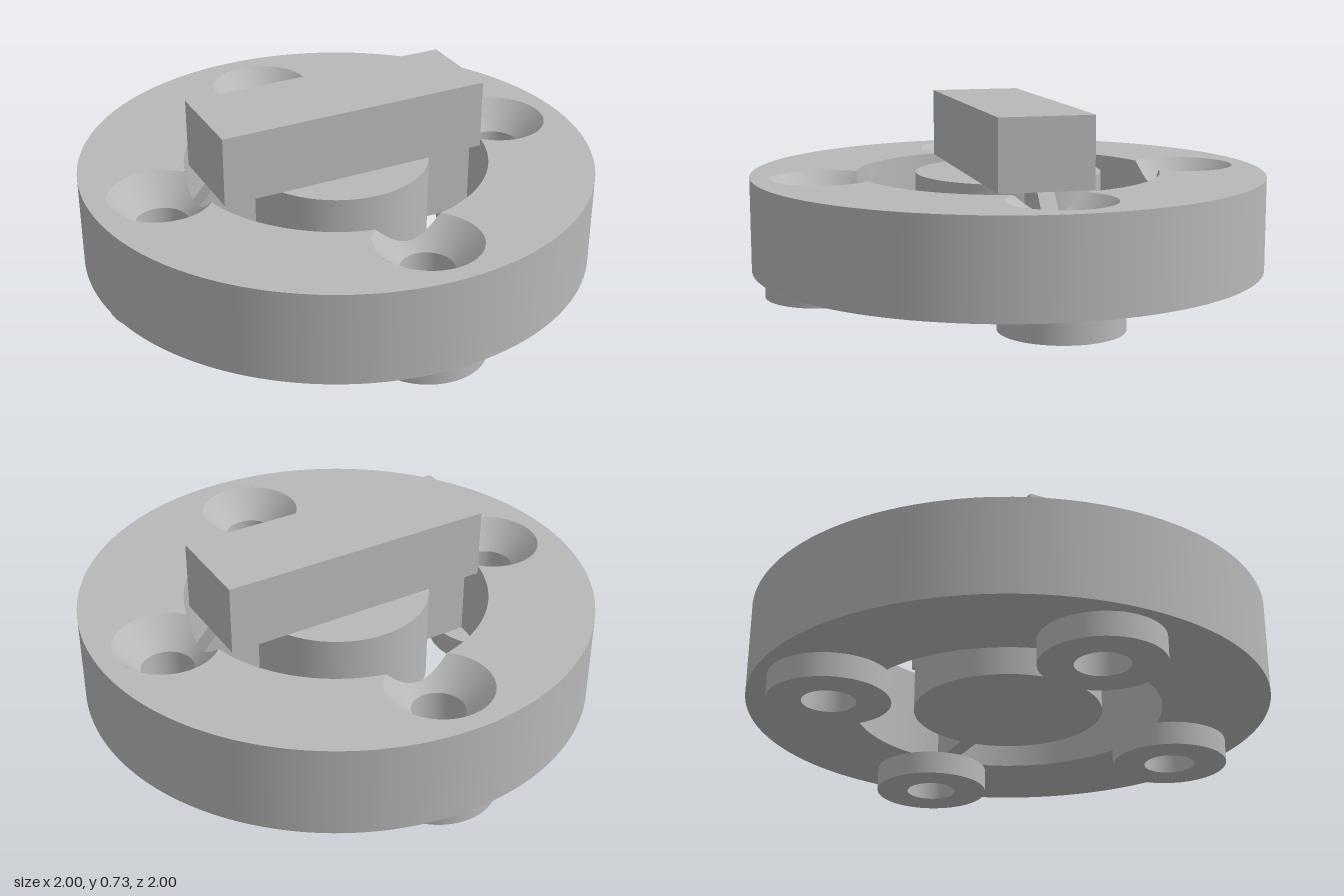
import * as THREE from 'three';

const OUTER = 1, BORE = 0.592, HUB = 0.362;      // ring and hub radii
const BOTTOM = 0.092, TOP = 0.455;               // ring heights
const PITCH = 0.727, HOLE = 0.1, SINK = 0.2, FOOT = 0.227; // screw holes
const SINK_BASE = 0.345;
const SLOPE = (TOP - SINK_BASE) / (SINK - HOLE);
const BAR_TOP = 0.727;

const sinkHeight = (rho) => Math.min(TOP, SINK_BASE + (rho - HOLE) * SLOPE);

// Closed band between a lower and an upper loop
function band(lower, upper, steps) {
  const pos = [], index = [];
  for (let i = 0; i <= steps; i++) {
    const a = (i / steps) * Math.PI * 2;
    pos.push(...lower(a), ...upper(a));
    if (i < steps) {
      const k = i * 2;
      index.push(k, k + 2, k + 1, k + 1, k + 2, k + 3);
    }
  }
  const g = new THREE.BufferGeometry();
  g.setAttribute('position', new THREE.Float32BufferAttribute(pos, 3));
  g.setIndex(index);
  g.computeVertexNormals();
  return g;
}

// Ring outline with the given inner openings
function ringShape(holes) {
  const s = new THREE.Shape();
  s.absarc(0, 0, OUTER, 0, Math.PI * 2, false);
  s.holes.push(...holes);
  return s;
}

export function createModel() {
  const model = new THREE.Group();
  const grey = new THREE.MeshStandardMaterial({ color: 0xb8b8b8, side: THREE.DoubleSide });
  grey.name = 'plain grey';
  const add = (name, geometry, parent = model) => {
    const m = new THREE.Mesh(geometry, grey);
    m.name = name;
    parent.add(m);
    return m;
  };

  // Ring top: the countersinks break through into the bore
  const alpha = Math.acos((BORE ** 2 + PITCH ** 2 - SINK ** 2) / (2 * BORE * PITCH));
  const beta = Math.atan2(BORE * Math.sin(alpha), BORE * Math.cos(alpha) - PITCH);
  const opening = new THREE.Path();
  for (let k = 0; k < 4; k++) {
    const t = (k * Math.PI) / 2;
    opening.absarc(PITCH * Math.cos(t), PITCH * Math.sin(t), SINK, t - beta, t + beta, false);
    opening.absarc(0, 0, BORE, t + alpha, t + Math.PI / 2 - alpha, false);
  }
  const topFace = new THREE.ShapeGeometry(ringShape([opening]), 64);
  add('ringTop', topFace.rotateX(-Math.PI / 2).translate(0, TOP, 0));

  // Ring underside with bore and screw holes
  const circles = [new THREE.Path().absarc(0, 0, BORE, 0, Math.PI * 2, true)];
  for (let k = 0; k < 4; k++) {
    const t = (k * Math.PI) / 2;
    circles.push(new THREE.Path().absarc(PITCH * Math.cos(t), PITCH * Math.sin(t), HOLE, 0, Math.PI * 2, true));
  }
  const under = new THREE.ShapeGeometry(ringShape(circles), 96);
  add('ringUnderside', under.rotateX(Math.PI / 2).translate(0, BOTTOM, 0));

  // Ring outer wall
  const wall = new THREE.CylinderGeometry(OUTER, OUTER, TOP - BOTTOM, 128, 1, true);
  add('ringOuterWall', wall.translate(0, (TOP + BOTTOM) / 2, 0));

  // Bore wall, dipping where a countersink cuts it
  const boreTop = (a) => {
    const near = a - Math.round(a / (Math.PI / 2)) * (Math.PI / 2);
    return sinkHeight(Math.hypot(BORE * Math.cos(near) - PITCH, BORE * Math.sin(near)));
  };
  add('boreWall', band(
    (a) => [BORE * Math.cos(a), BOTTOM, BORE * Math.sin(a)],
    (a) => [BORE * Math.cos(a), boreTop(a), BORE * Math.sin(a)], 256));

  // Countersink reach in one direction, stopped by the bore
  const reach = (a) => {
    const c = PITCH * Math.cos(a), d = c * c - PITCH ** 2 + BORE ** 2;
    return c < 0 && d > 0 ? Math.min(SINK, -c - Math.sqrt(d)) : SINK;
  };
  const coneGeo = band(
    (a) => [PITCH + HOLE * Math.cos(a), SINK_BASE, HOLE * Math.sin(a)],
    (a) => {
      const r = reach(a);
      return [PITCH + r * Math.cos(a), sinkHeight(r), r * Math.sin(a)];
    }, 96);

  // Raised foot washer with the screw hole running up through the ring
  const footProfile = [[FOOT, BOTTOM], [HOLE, BOTTOM]].map(([x, y]) => new THREE.Vector2(x, y));
  const footTop = new THREE.LatheGeometry(footProfile, 64).translate(PITCH, 0, 0);
  const footBase = new THREE.RingGeometry(HOLE, FOOT, 64).rotateX(Math.PI / 2).translate(PITCH, 0, 0);
  const footSide = new THREE.CylinderGeometry(FOOT, FOOT, BOTTOM, 64, 1, true).translate(PITCH, BOTTOM / 2, 0);
  const holeWall = new THREE.CylinderGeometry(HOLE, HOLE, SINK_BASE, 48, 1, true).translate(PITCH, SINK_BASE / 2, 0);
  for (let k = 0; k < 4; k++) {
    const mount = new THREE.Group();
    mount.name = 'screwMount';
    mount.rotation.y = (k * Math.PI) / 2;
    add('countersink', coneGeo, mount);
    add('footTop', footTop, mount);
    add('footBase', footBase, mount);
    add('footSide', footSide, mount);
    add('screwHole', holeWall, mount);
    model.add(mount);
  }

  // Central hub
  const hub = new THREE.CylinderGeometry(HUB, HUB, TOP - BOTTOM, 96);
  add('hub', hub.translate(0, (TOP + BOTTOM) / 2, 0));

  // Thin arms joining hub and ring, trimmed by the countersinks
  const armShape = new THREE.Shape([
    [HUB - 0.02, BOTTOM], [BORE, BOTTOM], [BORE, sinkHeight(PITCH - BORE)],
    [PITCH - SINK, TOP], [HUB - 0.02, TOP],
  ].map(([x, y]) => new THREE.Vector2(x, y)));
  const armGeo = new THREE.ExtrudeGeometry(armShape, { depth: 0.064, bevelEnabled: false }).translate(0, 0, -0.032);
  for (const turn of [0, Math.PI]) add('arm', armGeo).rotation.y = turn;

  // Grip bar across the hub
  const bar = new THREE.BoxGeometry(1.09, BAR_TOP - TOP, 0.362);
  add('gripBar', bar.translate(0, (TOP + BAR_TOP) / 2, 0));

  return model;
}
